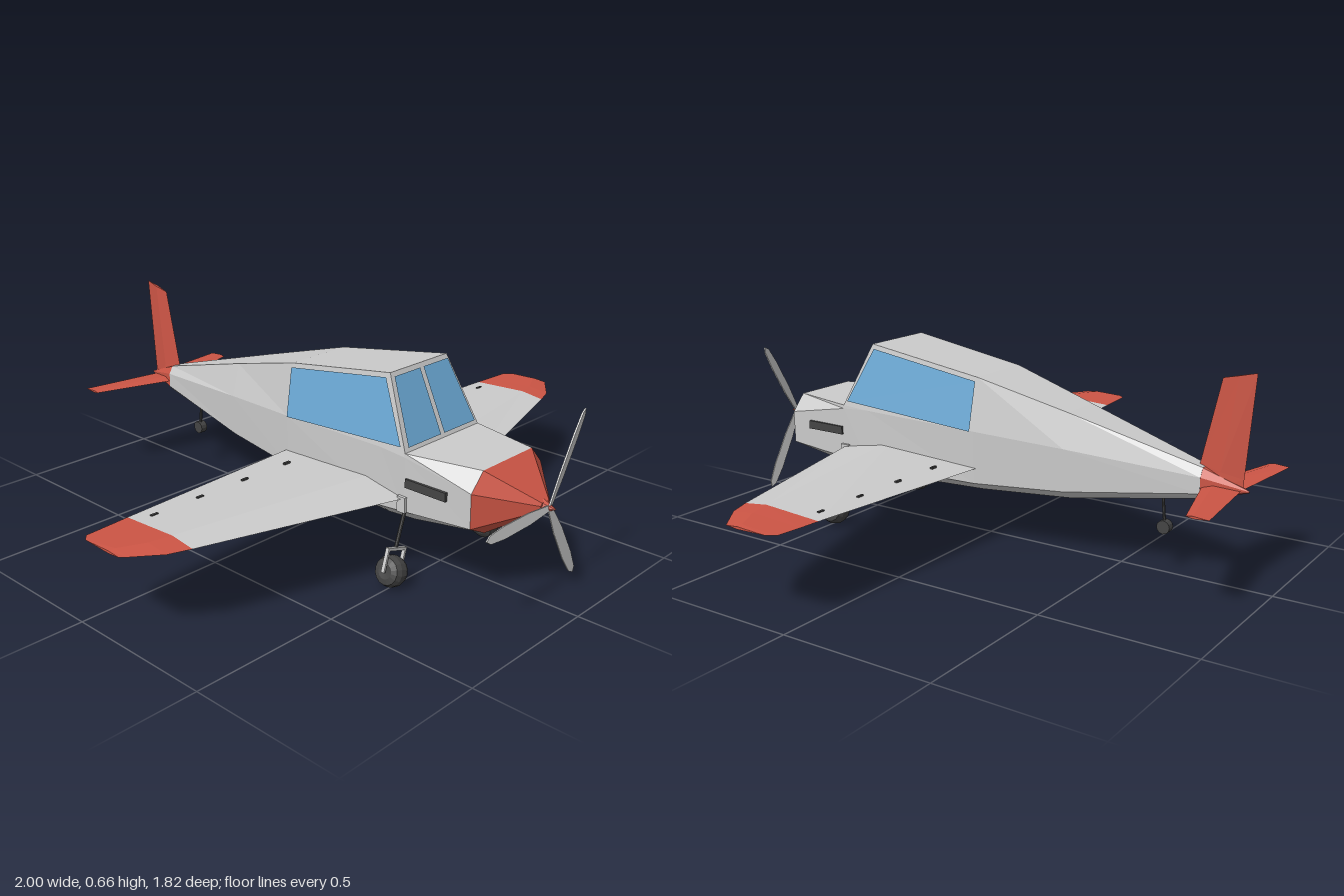
import * as THREE from 'three';

const material = (color, side = THREE.FrontSide) =>
  new THREE.MeshStandardMaterial({ color, flatShading: true, side });
const GREY = material(0xcccccc), RED = material(0xcc5545), DARK = material(0x444444);
const GLASS = material(0x6caad6, THREE.DoubleSide);

// Closed solid through equal-sized rings of points, capped at both ends
function loft(rings) {
  const tris = [], n = rings[0].length;
  for (let s = 0; s + 1 < rings.length; s++) {
    for (let i = 0; i < n; i++) {
      const j = (i + 1) % n, a = rings[s], b = rings[s + 1];
      tris.push([a[i], a[j], b[j]], [a[i], b[j], b[i]]);
    }
  }
  const cap = (r, flip) => {
    const c = r.reduce((v, p) => v.map((q, k) => q + p[k] / n), [0, 0, 0]);
    r.forEach((p, i) => {
      const q = r[(i + 1) % n];
      tris.push(flip ? [c, q, p] : [c, p, q]);
    });
  };
  cap(rings[0], true);
  cap(rings[rings.length - 1], false);
  // turn the faces outward whatever the ring direction
  const V = (p) => new THREE.Vector3(...p);
  const volume = tris.reduce((v, [a, b, c]) => v + V(a).dot(V(b).cross(V(c))), 0);
  if (volume < 0) tris.forEach((t) => t.reverse());
  const g = new THREE.BufferGeometry();
  g.setAttribute('position', new THREE.Float32BufferAttribute(tris.flat(2), 3));
  g.computeVertexNormals();
  return g;
}

// Flat four-cornered panel
function panel(a, b, c, d) {
  const g = new THREE.BufferGeometry();
  g.setAttribute('position', new THREE.Float32BufferAttribute([a, b, c, a, c, d].flat(), 3));
  g.computeVertexNormals();
  return g;
}

function add(parent, name, geometry, mat, x = 0, y = 0, z = 0) {
  const mesh = new THREE.Mesh(geometry, mat);
  mesh.name = name;
  mesh.position.set(x, y, z);
  parent.add(mesh);
  return mesh;
}

// Thin rod between two points
function rod(parent, name, a, b, radius, mat) {
  const p = new THREE.Vector3(...a), q = new THREE.Vector3(...b), d = q.clone().sub(p);
  const mesh = add(parent, name, new THREE.CylinderGeometry(radius, radius, d.length(), 8), mat);
  mesh.position.copy(p).add(q).multiplyScalar(0.5);
  mesh.quaternion.setFromUnitVectors(new THREE.Vector3(0, 1, 0), d.normalize());
}

// Fuselage ring: roof edge, sill, chine, lower edge, keel height
function bodyRing(z, top, sill, chine, low, keel) {
  const half = [low, chine, sill, top];
  return [[0, keel, z], ...half.map(([x, y]) => [x, y, z]),
    ...half.slice().reverse().map(([x, y]) => [-x, y, z])];
}

const shrink = (ring, s, z, y0 = 0.305) => ring.map(([x, y]) => [x * s, y0 + (y - y0) * s, z]);

// Four-point aerofoil slice of a wing or tailplane
const wingRing = (x, lead, trail, y, t) => {
  const peak = lead + (trail - lead) * 0.3;
  return [[x, y, lead], [x, y + t / 2, peak], [x, y, trail], [x, y - t / 2, peak]];
};

export function createModel() {
  const plane = new THREE.Group();
  plane.name = 'lightAircraft';

  // Fuselage, nose cowl and tail cone
  const body = [
    bodyRing(-0.77, [0.02, 0.362], [0.036, 0.335], [0.036, 0.285], [0.022, 0.27], 0.26),
    bodyRing(-0.34, [0.075, 0.48], [0.105, 0.37], [0.1, 0.23], [0.06, 0.2], 0.19),
    bodyRing(-0.03, [0.12, 0.562], [0.15, 0.39], [0.145, 0.215], [0.09, 0.182], 0.172),
    bodyRing(0.39, [0.133, 0.628], [0.172, 0.405], [0.172, 0.215], [0.12, 0.175], 0.159),
    bodyRing(0.49, [0.176, 0.412], [0.177, 0.4], [0.175, 0.225], [0.12, 0.182], 0.167),
    bodyRing(0.73, [0.12, 0.412], [0.172, 0.355], [0.17, 0.245], [0.1, 0.21], 0.2),
  ];
  add(plane, 'fuselage', loft(body), GREY);
  add(plane, 'noseCowl', loft([body[5], shrink(body[5], 0.14, 0.865)]), RED);
  add(plane, 'tailCone', loft([shrink(body[0], 0.06, -0.91), shrink(body[0], 1.02, -0.765)]), RED);

  // Propeller: spinner and three tapered blades
  const propeller = new THREE.Group();
  propeller.name = 'propeller';
  propeller.position.set(0, 0.305, 0.88);
  plane.add(propeller);
  const spinner = add(propeller, 'spinner', new THREE.ConeGeometry(0.022, 0.045, 8), RED);
  spinner.rotation.x = Math.PI / 2;
  const bladeShape = new THREE.Shape([[0, -0.008], [0.1, -0.017], [0.22, -0.018], [0.285, -0.012],
    [0.302, 0], [0.285, 0.012], [0.22, 0.018], [0.1, 0.017], [0, 0.008]]
    .map((p) => new THREE.Vector2(...p)));
  const bladeGeometry = new THREE.ExtrudeGeometry(bladeShape, { depth: 0.005, bevelEnabled: false });
  bladeGeometry.translate(0, 0, -0.0025).rotateX(0.2);
  for (let i = 0; i < 3; i++) {
    add(propeller, 'blade', bladeGeometry, GREY).rotation.z = Math.PI / 3 + (i * Math.PI * 2) / 3;
  }

  // Fin with a slight sweep
  const finRing = (y0, lead, y1, trail, t) =>
    [[0, y0, lead], [t, (y0 + y1) / 2, (lead + trail) / 2], [0, y1, trail], [-t, (y0 + y1) / 2, (lead + trail) / 2]];
  add(plane, 'fin', loft([
    finRing(0.32, -0.745, 0.3, -0.89, 0.014),
    finRing(0.37, -0.752, 0.34, -0.892, 0.012),
    finRing(0.635, -0.81, 0.66, -0.915, 0.005),
  ]), RED);

  // Windscreen frame plane: depth at a given height, just outside the body
  const screen = (x, y) => [x, y + 0.002, 0.49 - ((y - 0.412) / 0.216) * 0.1 + 0.005];
  // Cabin side plane
  const side = (s, z, y) => [s * (0.177 + 0.0524 * (z - 0.39) - 0.175 * (y - 0.405)), y, z];

  for (const s of [1, -1]) {
    // Glazing
    add(plane, 'windscreenPane', panel(screen(s * 0.008, 0.424), screen(s * 0.16, 0.424),
      screen(s * 0.126, 0.615), screen(s * 0.008, 0.615)), GLASS);
    add(plane, 'sideWindow', panel(side(s, 0.473, 0.428), side(s, -0.022, 0.39),
      side(s, -0.027, 0.55), side(s, 0.38, 0.613)), GLASS);

    // Wing with coloured tip
    const joint = wingRing(s * 0.83, 0.3, 0.013, 0.275, 0.022);
    add(plane, 'wing', loft([wingRing(s * 0.08, 0.515, -0.045, 0.266, 0.055), joint]), GREY);
    add(plane, 'wingTip', loft([joint, wingRing(s * 0.9, 0.275, 0.018, 0.275, 0.019),
      wingRing(s * 0.98, 0.215, 0.025, 0.276, 0.014),
      wingRing(s * 1.0, 0.2, 0.05, 0.277, 0.008)]), RED);
    for (const x of [0.24, 0.42, 0.6, 0.77]) {
      add(plane, 'flapHinge', new THREE.BoxGeometry(0.024, 0.018, 0.008), DARK, s * x, 0.272, 0.06);
    }
    // Tailplane
    add(plane, 'tailplane', loft([wingRing(0, -0.765, -0.885, 0.305, 0.018),
      wingRing(s * 0.305, -0.85, -0.92, 0.308, 0.008)]), RED);

    // Exhaust
    add(plane, 'exhaust', new THREE.BoxGeometry(0.02, 0.028, 0.15), DARK, s * 0.173, 0.322, 0.572);

    // Main wheel in a fork on a splayed leg
    rod(plane, 'gearLeg', [s * 0.16, 0.26, 0.49], [s * 0.21, 0.122, 0.492], 0.006, DARK);
    add(plane, 'legMount', new THREE.BoxGeometry(0.03, 0.05, 0.03), GREY, s * 0.17, 0.25, 0.485);
    const wheel = new THREE.Group();
    wheel.name = 'mainWheel';
    wheel.position.set(s * 0.232, 0.051, 0.495);
    wheel.rotation.z = s * 0.3;
    plane.add(wheel);
    const tyre = new THREE.LatheGeometry([[0, -0.03], [0.024, -0.032], [0.042, -0.026], [0.049, -0.01],
      [0.049, 0.01], [0.042, 0.026], [0.024, 0.032], [0, 0.03]].map((p) => new THREE.Vector2(...p)), 16);
    add(wheel, 'tyre', tyre.rotateZ(Math.PI / 2), DARK);
    add(wheel, 'forkBridge', new THREE.BoxGeometry(0.086, 0.009, 0.012), GREY, 0, 0.07, 0);
    for (const f of [1, -1]) {
      add(wheel, 'forkArm', new THREE.BoxGeometry(0.007, 0.075, 0.012), GREY, f * 0.04, 0.035, 0);
    }
  }

  // Tail wheel
  rod(plane, 'tailLeg', [0, 0.255, -0.635], [0, 0.15, -0.645], 0.005, DARK);
  const tailTyre = new THREE.CylinderGeometry(0.022, 0.022, 0.026, 12).rotateZ(Math.PI / 2);
  add(plane, 'tailWheel', tailTyre, DARK, 0, 0.148, -0.645);

  return plane;
}
